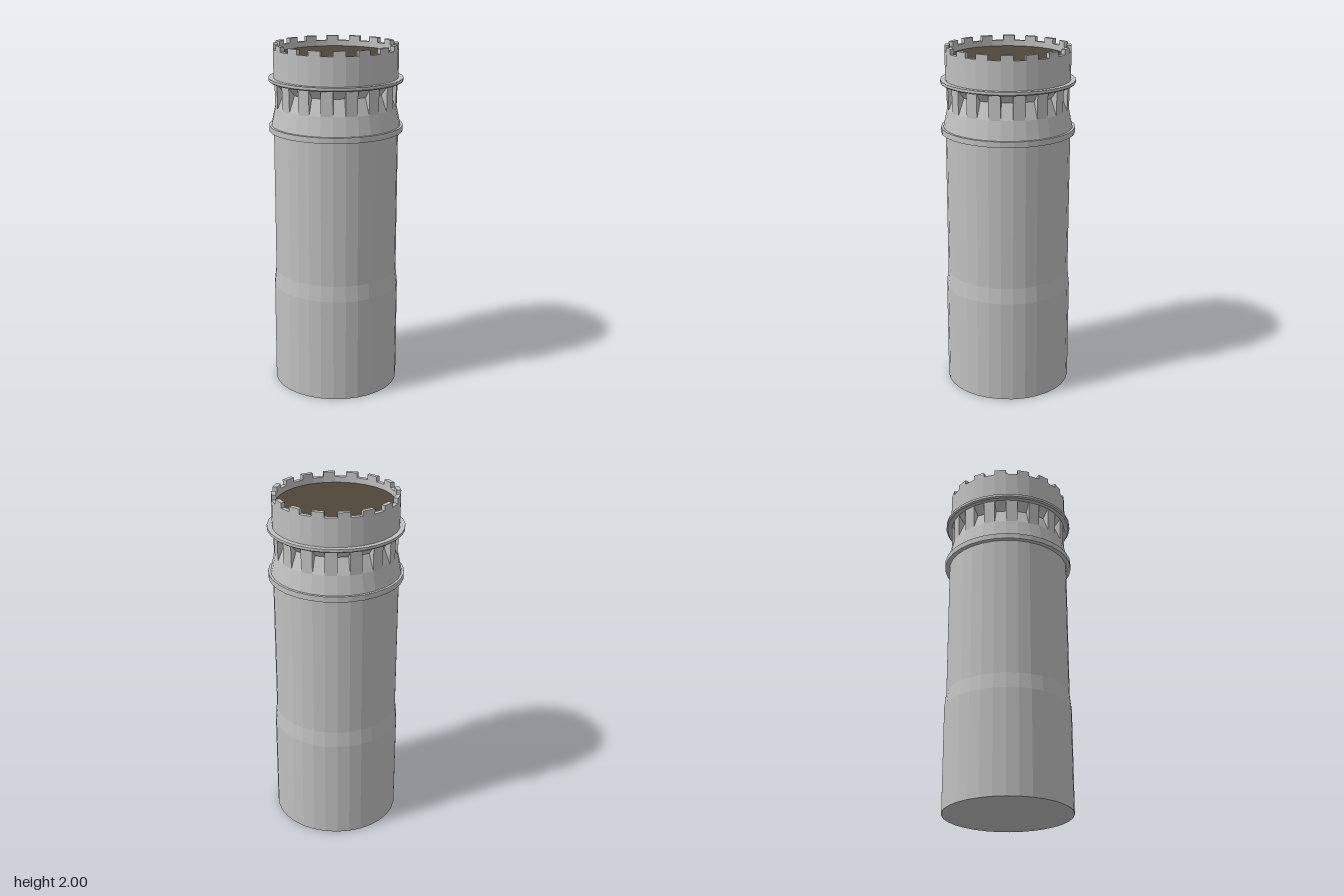
import * as THREE from 'three';
import { ConvexGeometry } from 'three/addons/geometries/ConvexGeometry.js';

const SIDES = 32;
const STEP = (Math.PI * 2) / SIDES;

// Faceted solid of revolution from [radius, height] pairs, bottom to top
function turned(profile) {
  const pts = profile.map(([r, y]) => new THREE.Vector2(r, y));
  const geo = new THREE.LatheGeometry(pts, SIDES).toNonIndexed();
  geo.computeVertexNormals();
  return geo;
}

// Convex block filling one facet of the ring, from a [radius, height] section
function facetBlock(section) {
  const pts = [];
  for (const a of [0, STEP]) {
    for (const [r, y] of section) pts.push(new THREE.Vector3(r * Math.sin(a), y, r * Math.cos(a)));
  }
  return new ConvexGeometry(pts);
}

export function createModel() {
  const tower = new THREE.Group();
  tower.name = 'tower';
  const stone = new THREE.MeshStandardMaterial({ color: 0xc0c0c0 });
  stone.name = 'grey stone';
  const wood = new THREE.MeshStandardMaterial({ color: 0x50463a });
  wood.name = 'brown floor';

  const add = (name, geo, mat = stone, parent = tower) => {
    const mesh = new THREE.Mesh(geo, mat);
    mesh.name = name;
    parent.add(mesh);
    return mesh;
  };

  // Plinth, sloped shoulder and shaft
  add('shaft', turned([[0, 0], [0.362, 0], [0.362, 0.6], [0.352, 0.69], [0.352, 1.515]]));

  // Lower moulding, sloped collar and recessed gallery
  add('lowerRing', turned([[0.352, 1.513], [0.378, 1.513], [0.378, 1.545], [0.364, 1.545]]));
  add('collar', turned([[0.364, 1.545], [0.342, 1.65]]));
  add('gallery', turned([[0.342, 1.65], [0.305, 1.74], [0.345, 1.79]]));

  // Upper moulding
  add('upperRing', turned([[0.34, 1.79], [0.37, 1.79], [0.378, 1.797], [0.378, 1.812], [0.35, 1.812]]));

  // Parapet wall, open at the top
  add('parapet', turned([[0.35, 1.81], [0.35, 1.972], [0.325, 1.972], [0.325, 1.94]]));
  const floorGeo = new THREE.CircleGeometry(0.325, SIDES).rotateX(-Math.PI / 2);
  add('roofFloor', floorGeo, wood).position.y = 1.94;

  // Alternate facets: merlons above, gallery piers between
  const merlons = new THREE.Group();
  merlons.name = 'merlons';
  const piers = new THREE.Group();
  piers.name = 'galleryPiers';
  tower.add(merlons, piers);
  const merlonGeo = facetBlock([[0.35, 1.972], [0.35, 2], [0.325, 2], [0.325, 1.972]]);
  const pierGeo = facetBlock([[0.342, 1.65], [0.345, 1.79], [0.305, 1.74]]);
  for (let i = 0; i < SIDES; i += 2) {
    add('merlon', merlonGeo, stone, merlons).rotation.y = i * STEP;
    add('pier', pierGeo, stone, piers).rotation.y = (i - 1) * STEP;
  }
  return tower;
}
